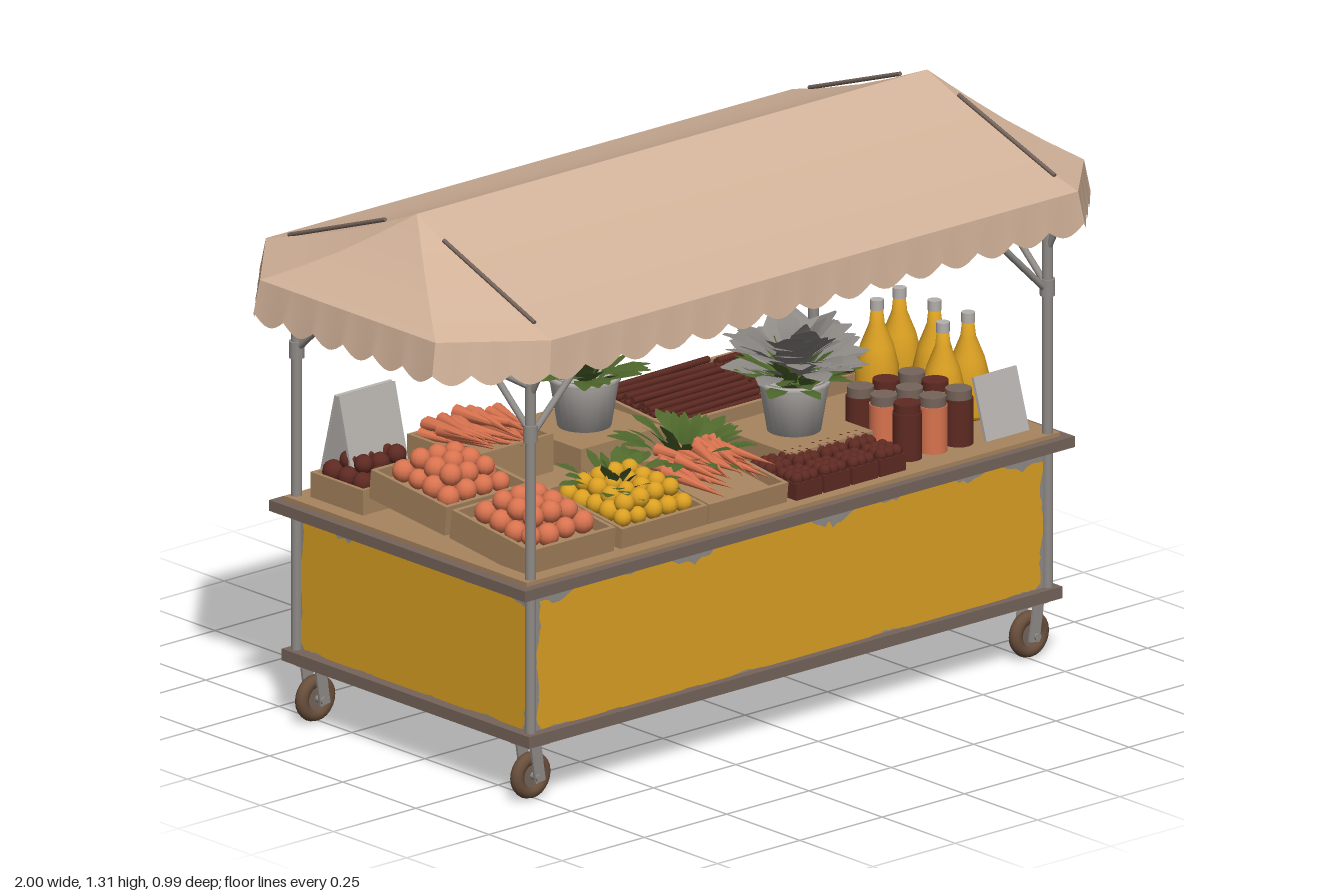
import * as THREE from 'three';
import { mergeGeometries } from 'three/addons/utils/BufferGeometryUtils.js';

const mat = (name, color, side = THREE.FrontSide) => {
  const m = new THREE.MeshStandardMaterial({ color, side });
  m.name = name;
  return m;
};
const M = {
  canvas: mat('canvas', 0xd2b299, THREE.DoubleSide),
  paint: mat('yellow paint', 0xdba022),
  rust: mat('rusty metal', 0x75645a),
  steel: mat('grey metal', 0x8f8b87, THREE.DoubleSide),
  wood: mat('wood', 0xa88560),
  orange: mat('orange produce', 0xd9734f),
  darkRed: mat('dark red produce', 0x5e2a22),
  green: mat('leaf green', 0x4f682c, THREE.DoubleSide),
  pot: mat('pot grey', 0xb4b0ac, THREE.DoubleSide),
  tyre: mat('wheel brown', 0x6a4f3c),
};
const V = (x, y, z) => new THREE.Vector3(x, y, z);
const SIGNS = [-1, 1];

export function createModel() {
  const root = new THREE.Group();
  root.name = 'marketCart';
  let seed = 7;
  const rnd = () => (seed = (seed * 16807) % 2147483647) / 2147483647;
  const rr = (a, b) => a + (b - a) * rnd();

  const add = (name, geo, m, x = 0, y = 0, z = 0, parent = root) => {
    const mesh = new THREE.Mesh(geo, m);
    mesh.name = name;
    mesh.position.set(x, y, z);
    parent.add(mesh);
    return mesh;
  };
  const box = (name, w, h, d, m, x, y, z, parent) => add(name, new THREE.BoxGeometry(w, h, d), m, x, y, z, parent);
  const bar = (name, a, b, r, m = M.steel) => {
    const mesh = add(name, new THREE.CylinderGeometry(r, r, a.distanceTo(b), 10), m);
    mesh.position.lerpVectors(a, b, 0.5);
    mesh.quaternion.setFromUnitVectors(V(0, 1, 0), b.clone().sub(a).normalize());
  };
  // many copies of one shape, merged: each item is [x, y, z, rx, ry, rz, scale]
  const scatter = (name, geo, items, m, parent = root) => {
    const copies = items.map(([x, y, z, rx = 0, ry = 0, rz = 0, s = 1]) => geo.clone().applyMatrix4(
      new THREE.Matrix4().compose(V(x, y, z),
        new THREE.Quaternion().setFromEuler(new THREE.Euler(rx, ry, rz, 'YXZ')), V(s, s, s))));
    return add(name, mergeGeometries(copies), m, 0, 0, 0, parent);
  };
  // smooth sheet through rows of points
  const sheet = (name, rows, m) => {
    const n = rows[0].length, index = [];
    for (let j = 0; j < rows.length - 1; j++) for (let i = 0; i < n - 1; i++) {
      const a = j * n + i;
      index.push(a, a + n, a + 1, a + 1, a + n, a + n + 1);
    }
    const g = new THREE.BufferGeometry().setFromPoints(rows.flat());
    g.setIndex(index);
    g.computeVertexNormals();
    add(name, g, m);
  };

  // body with flaking painted panels
  box('body', 1.56, 0.35, 0.8, M.steel, 0, 0.335, 0);
  box('paintedUnderside', 1.52, 0.008, 0.76, M.paint, 0, 0.156, 0);
  const flakedPanel = (w, h) => {
    const pts = [], p = rr(0, 6);
    const side = (len, f, depth) => {
      for (let t = 0.02; t < len - 0.02; t += 0.012) {
        const wave = Math.max(0, Math.sin(t * 13 + p) + Math.sin(t * 31 + p * 2)) * 0.5;
        pts.push(f(t, 0.003 + depth * (0.25 + wave) * rr(0.5, 1)));
      }
    };
    side(w, (t, d) => new THREE.Vector2(t - w / 2, d - h / 2), 0.008);
    side(h, (t, d) => new THREE.Vector2(w / 2 - d, t - h / 2), 0.018);
    side(w, (t, d) => new THREE.Vector2(w / 2 - t, h / 2 - d), 0.035);
    side(h, (t, d) => new THREE.Vector2(d - w / 2, h / 2 - t), 0.018);
    return new THREE.ShapeGeometry(new THREE.Shape(pts));
  };
  for (let i = 0; i < 4; i++) {
    const long = i % 2 === 0, a = i * Math.PI / 2, off = long ? 0.403 : 0.783;
    add('paintedPanel', flakedPanel(long ? 1.55 : 0.79, 0.335), M.paint,
      Math.sin(a) * off, 0.334, Math.cos(a) * off).rotation.y = a;
  }
  box('counterTop', 1.62, 0.02, 0.83, M.wood, 0, 0.53, 0);
  for (const s of SIGNS) {
    box('topRail', 1.67, 0.026, 0.035, M.rust, 0, 0.517, s * 0.42);
    box('topEndRail', 0.035, 0.026, 0.87, M.rust, s * 0.817, 0.517, 0);
    box('bottomRail', 1.62, 0.028, 0.03, M.rust, 0, 0.158, s * 0.408);
    box('bottomEndRail', 0.03, 0.028, 0.84, M.rust, s * 0.795, 0.158, 0);
  }

  // corner posts, braces, roof frame and castors
  for (const sx of SIGNS) {
    for (const sz of SIGNS) {
      const P = (x, y, z) => V(sx * x, y, sz * z);
      bar('post', P(0.785, 0.15, 0.4), P(0.785, 1.12, 0.4), 0.013);
      bar('postCollar', P(0.785, 0.87, 0.4), P(0.785, 0.91, 0.4), 0.018);
      bar('longBrace', P(0.785, 0.88, 0.4), P(0.61, 1.05, 0.4), 0.008);
      bar('endBrace', P(0.785, 0.89, 0.4), P(0.785, 1.05, 0.22), 0.008);
      bar('outerBrace', P(0.785, 0.98, 0.4), P(0.785, 1.11, 0.47), 0.008);
      bar('eaveBrace', P(0.785, 1.0, 0.4), P(0.96, 1.11, 0.3), 0.008);
      bar('rafter', P(0.785, 1.12, 0.4), P(0.785, 1.285, 0), 0.01);
      bar('seam', P(0.79, 1.16, 0.42), P(0.782, 1.275, 0.1), 0.005, M.rust);
      const wheel = new THREE.Group();
      wheel.name = 'castor';
      wheel.position.set(sx * 0.757, 0.057, sz * 0.368);
      root.add(wheel);
      add('tyre', new THREE.TorusGeometry(0.04, 0.016, 10, 24), M.tyre, 0, 0, 0, wheel);
      add('hub', new THREE.CylinderGeometry(0.036, 0.036, 0.018, 20), M.rust, 0, 0, 0, wheel).rotation.x = Math.PI / 2;
      add('axle', new THREE.CylinderGeometry(0.009, 0.009, 0.066, 10), M.steel, 0, 0, 0, wheel).rotation.x = Math.PI / 2;
      for (const s of SIGNS) box('fork', 0.03, 0.095, 0.006, M.steel, 0, 0.035, s * 0.025, wheel).rotation.z = -sx * 0.15;
      box('forkTop', 0.065, 0.014, 0.062, M.steel, 0, 0.082, 0, wheel);
    }
    bar('endRoofRail', V(sx * 0.785, 1.1, -0.4), V(sx * 0.785, 1.1, 0.4), 0.01);
    bar('longRoofRail', V(-0.785, 1.1, sx * 0.4), V(0.785, 1.1, sx * 0.4), 0.01);
  }
  bar('ridgePole', V(-0.78, 1.292, 0), V(0.78, 1.292, 0), 0.012);

  // canopy: eight sagging panels, each with a scalloped valance
  const half = [V(-0.8, 1.137, 0.488), V(0.8, 1.137, 0.488), V(0.985, 1.125, 0.3), V(0.985, 1.125, -0.3)];
  const eave = [...half, ...half.map((p) => V(-p.x, p.y, -p.z))].filter((p, i) => i < 4 || i > 3);
  eave.forEach((a, k) => {
    const b = eave[(k + 1) % eave.length], len = a.distanceTo(b);
    const scallops = Math.max(3, Math.round(len / 0.105)), n = scallops * 8;
    const roof = [[], [], [], [], []], skirt = [[], [], []];
    for (let i = 0; i <= n; i++) {
      const e = a.clone().lerp(b, i / n);
      const ridge = V(THREE.MathUtils.clamp(e.x / 0.8, -1, 1) * 0.775, 1.312, 0);
      roof.forEach((row, j) => {
        const p = ridge.clone().lerp(e, j / 4);
        p.y -= 0.012 * Math.sin(Math.PI * j / 4);
        row.push(p);
      });
      const drop = 0.076 + 0.024 * Math.abs(Math.sin(Math.PI * scallops * i / n));
      skirt.forEach((row, j) => {
        const f = j / 2, p = e.clone();
        p.x *= 1 + 0.015 * f;
        p.z *= 1 + 0.018 * f;
        p.y -= drop * f;
        row.push(p);
      });
    }
    sheet('canopyPanel', roof, M.canvas);
    sheet('valance', skirt, M.canvas);
  });

  // open crates, raised towards the back by tilt
  const crate = (name, x, y, z, w, h, d, tilt = 0) => {
    const g = new THREE.Group();
    g.name = name;
    g.position.set(x, y, z);
    g.rotation.x = tilt;
    root.add(g);
    box('crateFloor', w, h * 0.6, d, M.wood, 0, h * 0.3, 0, g);
    for (const s of SIGNS) {
      box('crateSide', 0.01, h, d, M.wood, s * (w / 2 - 0.005), h / 2, 0, g);
      box('crateEnd', w, h, 0.01, M.wood, 0, h / 2, s * (d / 2 - 0.005), g);
    }
    return g;
  };
  const heap = (name, g, w, h, d, r, m) => {
    const items = [], nx = Math.floor(w / (2 * r)), nz = Math.floor(d / (2 * r));
    for (let l = 0; l < 2; l++) for (let i = 0; i < nx - l; i++) for (let j = 0; j < nz - l; j++) {
      items.push([(i - (nx - l - 1) / 2) * 2 * r, h + l * r * 1.3 + rr(-0.005, 0.005),
        (j - (nz - l - 1) / 2) * 2 * r, 0, 0, 0, rr(0.9, 1.08)]);
    }
    scatter(name, new THREE.SphereGeometry(r, 12, 8), items, m, g);
  };
  const carrots = (g, n, w, h) => scatter('carrots', new THREE.ConeGeometry(0.016, 0.16, 8), Array.from({ length: n }, (_, i) =>
    [rr(-w, w), h + (i % 3) * 0.014, rr(-0.04, 0.05), Math.PI / 2 + rr(-0.1, 0.1), rr(-0.35, 0.35), 0, rr(0.85, 1.1)]), M.orange, g);

  // leaves: bent tapering blades fanned around a point
  const leaf = (w, l) => {
    const g = new THREE.PlaneGeometry(w, l, 1, 3).translate(0, l / 2, 0), p = g.attributes.position;
    const widths = [0.3, 0.9, 1, 0.15];
    for (let i = 0; i < p.count; i++) {
      const t = p.getY(i) / l;
      p.setX(i, p.getX(i) * widths[Math.round(t * 3)]);
      p.setZ(i, l * 0.3 * t * t);
    }
    g.computeVertexNormals();
    return g;
  };
  const bush = (name, x, y, z, m, n, w, l, spread, rise, parent) => scatter(name, leaf(w, l),
    Array.from({ length: n }, () => {
      const a = rr(0, 6.28), k = Math.sqrt(rnd());
      return [x + Math.sin(a) * spread * k, y + rr(0, rise), z + Math.cos(a) * spread * k, k * 1.2, a, rr(-0.3, 0.3), rr(0.75, 1.05)];
    }), m, parent);

  const tomato = crate('tomatoCrate', -0.64, 0.545, 0.24, 0.26, 0.07, 0.27, 0.12);
  heap('tomatoes', tomato, 0.24, 0.07, 0.25, 0.026, M.orange);
  const rear = crate('rearTomatoCrate', -0.64, 0.575, -0.04, 0.26, 0.07, 0.26, 0.1);
  heap('tomatoes', rear, 0.24, 0.07, 0.24, 0.026, M.orange);
  const plum = crate('darkTomatoCrate', -0.66, 0.54, -0.28, 0.22, 0.06, 0.18);
  heap('darkTomatoes', plum, 0.2, 0.06, 0.16, 0.025, M.darkRed);
  const lemon = crate('lemonCrate', -0.36, 0.54, 0.24, 0.26, 0.065, 0.27, 0.12);
  heap('lemons', lemon, 0.24, 0.065, 0.25, 0.023, M.paint);
  bush('lemonLeaves', 0, 0.09, -0.04, M.green, 26, 0.03, 0.06, 0.1, 0.01, lemon);
  const carrot = crate('carrotCrate', -0.105, 0.54, 0.24, 0.24, 0.065, 0.27, 0.12);
  carrots(carrot, 30, 0.09, 0.075);
  bush('carrotTops', 0, 0.08, -0.09, M.green, 50, 0.03, 0.08, 0.1, 0.02, carrot);
  carrots(crate('backCarrotCrate', -0.36, 0.54, -0.25, 0.25, 0.09, 0.22), 30, 0.09, 0.085);

  // potted plants
  const potProfile = [[0, 0], [0.062, 0], [0.08, 0.11], [0.084, 0.11], [0.084, 0.122], [0.074, 0.122], [0.07, 0.1], [0, 0.1]];
  for (const [x, z] of [[-0.08, -0.21], [0.255, 0.13]]) {
    box('potStand', 0.25, 0.06, 0.26, M.wood, x, 0.57, z);
    add('pot', new THREE.LatheGeometry(potProfile.map(([r, y]) => new THREE.Vector2(r, y)), 24), M.pot, x, 0.6, z);
    bush('greenLeaves', x, 0.7, z, M.green, 70, 0.045, 0.11, 0.055, 0.03);
  }
  bush('greyLeaves', 0.255, 0.735, 0.13, M.steel, 75, 0.075, 0.115, 0.075, 0.06);

  // dark berry punnets
  for (let i = 0; i < 4; i++) for (let j = 0; j < 2; j++) {
    const x = 0.075 + i * 0.085, z = 0.345 - j * 0.09;
    box('punnet', 0.078, 0.04, 0.08, M.darkRed, x, 0.56, z);
    scatter('berries', new THREE.SphereGeometry(0.016, 8, 6),
      Array.from({ length: 9 }, (_, k) => [x + (k % 3 - 1) * 0.023, 0.585, z + (Math.floor(k / 3) - 1) * 0.023]), M.darkRed);
  }
  // preserve jars
  for (let i = 0; i < 3; i++) for (let j = 0; j < 3; j++) {
    const x = 0.43 + i * 0.078, z = 0.32 - j * 0.08;
    add('jar', new THREE.CylinderGeometry(0.034, 0.034, 0.11, 18), (i + j) % 2 ? M.orange : M.darkRed, x, 0.595, z);
    add('jarLid', new THREE.CylinderGeometry(0.031, 0.031, 0.022, 18), (i + j) % 3 ? M.rust : M.darkRed, x, 0.661, z);
  }
  // juice bottles
  const bottle = [[0, 0], [0.046, 0], [0.05, 0.01], [0.05, 0.09], [0.038, 0.14], [0.018, 0.19], [0.014, 0.225], [0, 0.225]];
  for (const [x, z] of [[0.735, 0.185], [0.735, 0.07], [0.735, -0.05], [0.645, 0.2], [0.64, -0.02]]) {
    add('bottle', new THREE.LatheGeometry(bottle.map(([r, y]) => new THREE.Vector2(r, y)), 20), M.paint, x, 0.54, z);
    add('bottleCap', new THREE.CylinderGeometry(0.016, 0.016, 0.024, 12), M.pot, x, 0.775, z);
  }
  // back tray of dark sticks
  const tray = crate('stickTray', 0.42, 0.54, -0.25, 0.66, 0.05, 0.26, 0.08);
  scatter('darkSticks', new THREE.CylinderGeometry(0.008, 0.008, 0.3, 6), Array.from({ length: 44 }, (_, i) =>
    [(i % 2 ? 0.16 : -0.16) + rr(-0.01, 0.01), 0.04 + (i % 3) * 0.011, -0.11 + i * 0.005, 0, rr(-0.05, 0.05), Math.PI / 2]), M.darkRed, tray);
  // leaning boards
  box('frontBoard', 0.13, 0.15, 0.008, M.pot, 0.7, 0.612, 0.335).rotation.set(-0.3, 0, 0);
  for (const s of SIGNS) box('backBoard', 0.17, 0.25, 0.008, M.pot, -0.64, 0.66, -0.33 + s * 0.035).rotation.x = -s * 0.25;

  return root;
}
